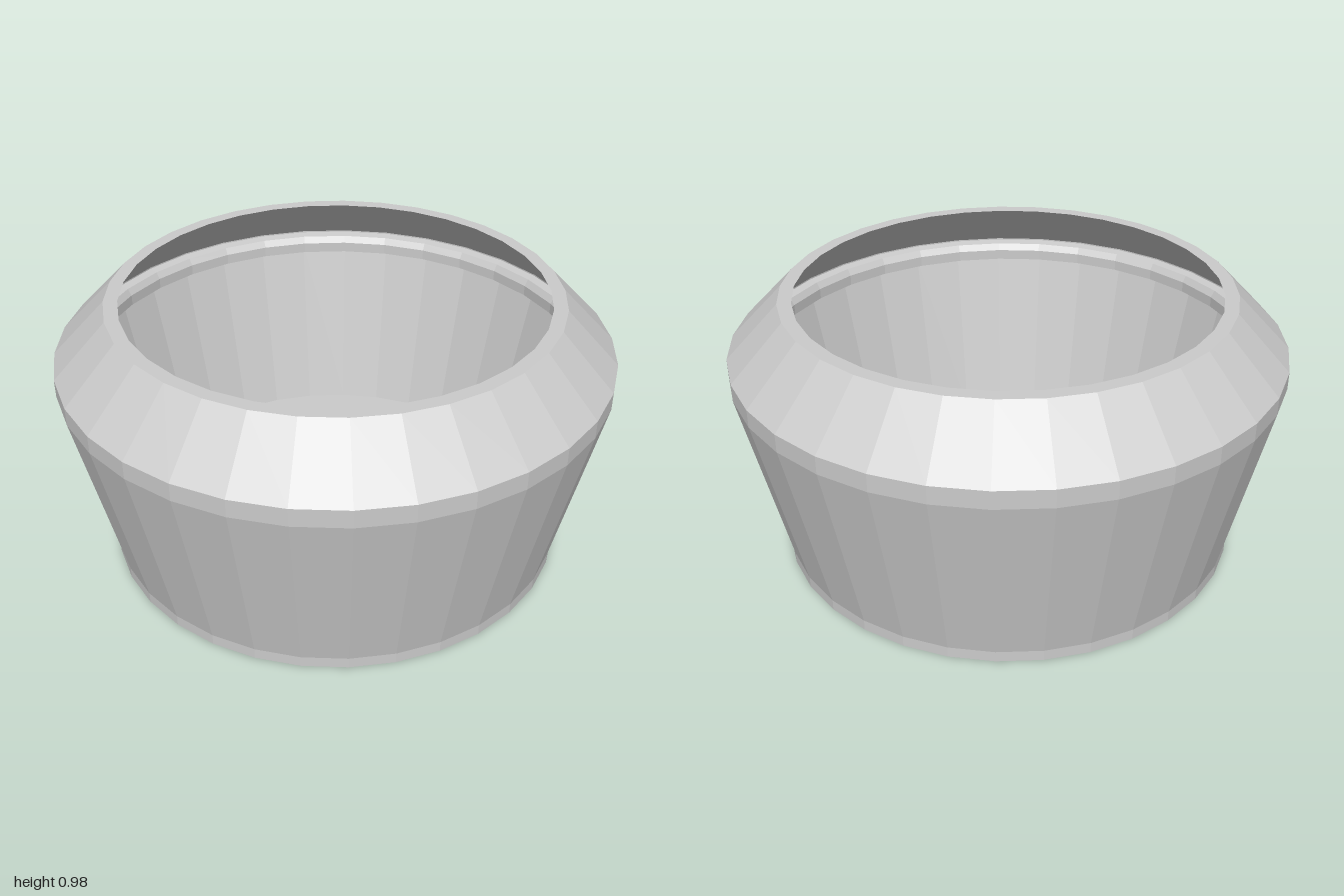
import * as THREE from 'three';

const SIDES = 33;

// Turned part from [radius, height] points, with one corner of the polygon on +x
function turned(name, points) {
  const geometry = new THREE.LatheGeometry(
    points.map(([r, y]) => new THREE.Vector2(r, y)), SIDES, Math.PI / 2);
  const material = new THREE.MeshStandardMaterial({ color: 0xcccccc, flatShading: true });
  const mesh = new THREE.Mesh(geometry, material);
  mesh.name = name;
  return mesh;
}

export function createModel() {
  const model = new THREE.Group();
  model.name = 'bowl';

  // Closed wall: base, flared outside, sloped shoulder, flat rim, then down the inside to the floor
  model.add(turned('bowlBody', [
    [0, 0], [0.85, 0], [0.85, 0.04], [1, 0.72], [1, 0.785],
    [0.81, 0.98], [0.76, 0.98],
    [0.95, 0.785], [0.95, 0.72], [0.80, 0.04], [0, 0.04],
  ]));

  // Chamfered lip running round the inside under the shoulder
  model.add(turned('innerLip', [
    [0.95, 0.71], [0.90, 0.71], [0.90, 0.75], [0.915, 0.775], [0.95, 0.78],
  ].reverse()));
  // The lip faces the axis, so its profile must run downwards
  return model;
}
